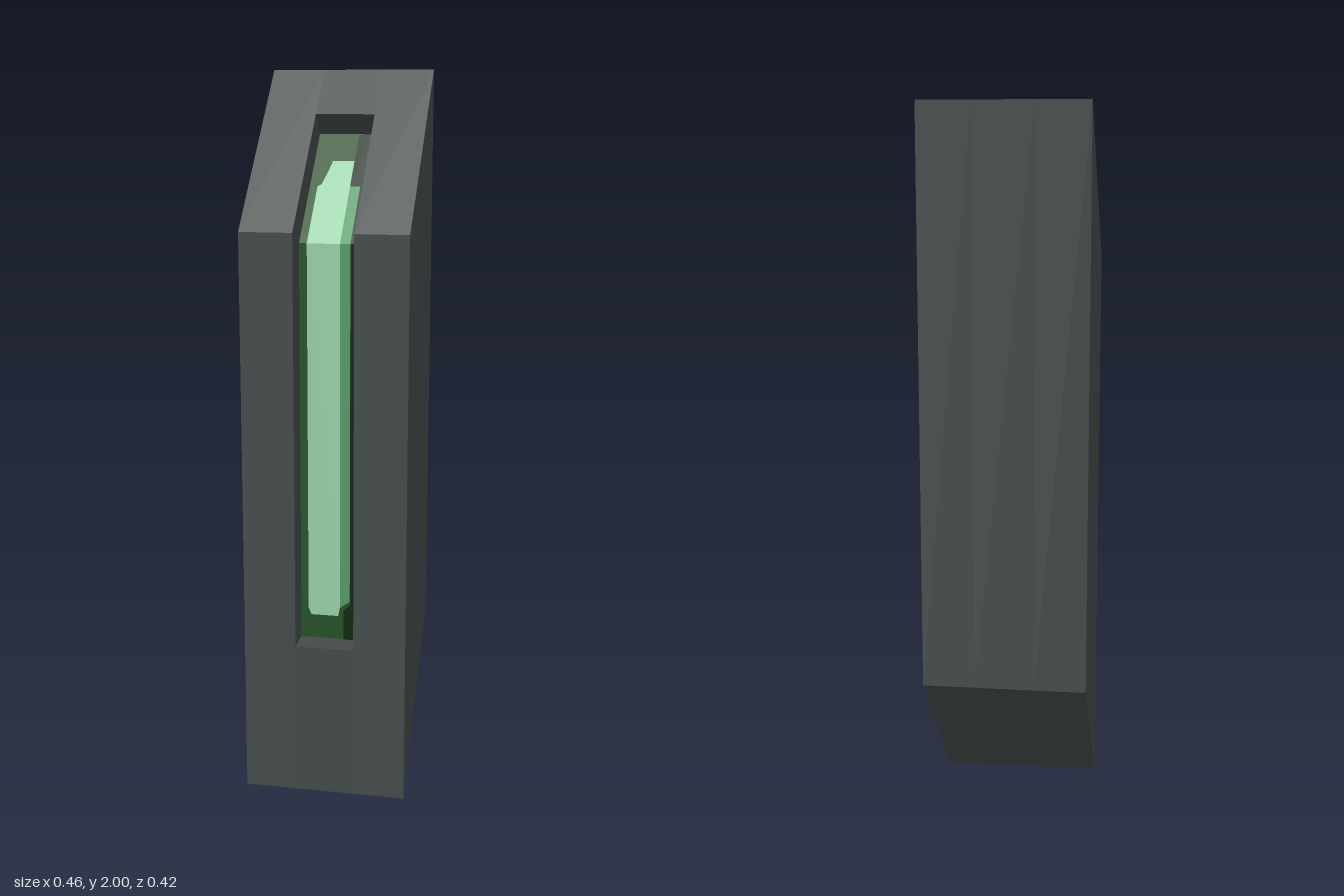
import * as THREE from 'three';

const mat = (name, color, side = THREE.FrontSide) => {
  const m = new THREE.MeshStandardMaterial({ color, side });
  m.name = name;
  return m;
};

const HALF_W = 0.2275, SLOT = 0.082;   // half widths of the body and the slot
const FLOOR_Z = 0.13, FOLD = 1.549;    // slot floor: upright below FOLD, sloping back above it

export function createModel() {
  const group = new THREE.Group();
  group.name = 'slantedLamp';

  const casing = mat('charcoal', 0x444b4a);
  const light = mat('paleGreen', 0x98d0a8, THREE.DoubleSide);
  const mid = mat('midGreen', 0x559a66, THREE.DoubleSide);
  const dark = mat('darkGreen', 0x235024, THREE.DoubleSide);
  const deep = mat('deepGreen', 0x0c280d, THREE.DoubleSide);

  const shapeOf = (pts) => new THREE.Shape(pts.map(([x, y]) => new THREE.Vector2(x, y)));

  // Extrude a (z, y) side profile across x
  function slab(name, profile, x0, x1) {
    const g = new THREE.ExtrudeGeometry(shapeOf(profile), { depth: x1 - x0, bevelEnabled: false });
    g.rotateY(-Math.PI / 2).translate(x1, 0, 0);
    const m = new THREE.Mesh(g, casing);
    m.name = name;
    group.add(m);
  }

  // Casing: two full cheeks and a notched core between them
  const cheek = [[0.21, 0], [0.21, 1.583], [-0.21, 2], [-0.21, 0.417]];
  slab('leftCheek', cheek, SLOT, HALF_W);
  slab('rightCheek', cheek, -HALF_W, -SLOT);
  slab('slottedCore', [
    [0.21, 0], [0.21, 0.435], [FLOOR_Z, 0.435], [FLOOR_Z, FOLD],
    [-0.146, 1.825], [-0.089, 1.88], [-0.21, 2], [-0.21, 0.417],
  ], -SLOT, SLOT);

  // Flat (x, y) outline laid onto the folded slot floor
  function paint(name, material, lift, pts) {
    const g = new THREE.ShapeGeometry(shapeOf(pts));
    const p = g.attributes.position;
    for (let i = 0; i < p.count; i++) {
      p.setZ(i, FLOOR_Z + lift - Math.max(0, p.getY(i) - FOLD));
    }
    g.computeVertexNormals();
    const m = new THREE.Mesh(g, material);
    m.name = name;
    group.add(m);
  }
  const rect = (x0, x1, y0, y1) => [[x0, y0], [x1, y0], [x1, y1], [x0, y1]];

  // Dark glass backing
  paint('glassFront', dark, 0.002, rect(-SLOT, SLOT, 0.435, FOLD));
  paint('glassTop', dark, 0.002, rect(-SLOT, SLOT, FOLD, 1.824));

  // Shaded right edge of the glass
  paint('shadeFront', deep, 0.004,
    [[0.04, 0.435], [SLOT, 0.435], [SLOT, FOLD], [0.058, FOLD], [0.058, 0.54], [0.04, 0.52]]);
  paint('shadeTop', deep, 0.004,
    [[0.058, FOLD], [SLOT, FOLD], [SLOT, 1.79], [0.06, 1.824], [0.03, 1.824], [0.03, 1.69], [0.058, 1.69]]);

  // Glowing tube: bright face and dimmer right side
  paint('tubeFront', light, 0.006,
    [[-0.052, 0.505], [0.025, 0.505], [0.03, 0.53], [0.03, FOLD], [-0.06, FOLD], [-0.06, 0.525]]);
  paint('tubeTop', light, 0.006,
    [[-0.06, FOLD], [0.03, FOLD], [0.03, 1.755], [-0.03, 1.755], [-0.037, 1.73], [-0.05, 1.695], [-0.06, 1.69]]);
  paint('tubeSideFront', mid, 0.006, [[0.03, 0.53], [0.058, 0.55], [0.058, FOLD], [0.03, FOLD]]);
  paint('tubeSideTop', mid, 0.006, rect(0.03, 0.058, FOLD, 1.69));

  return group;
}
